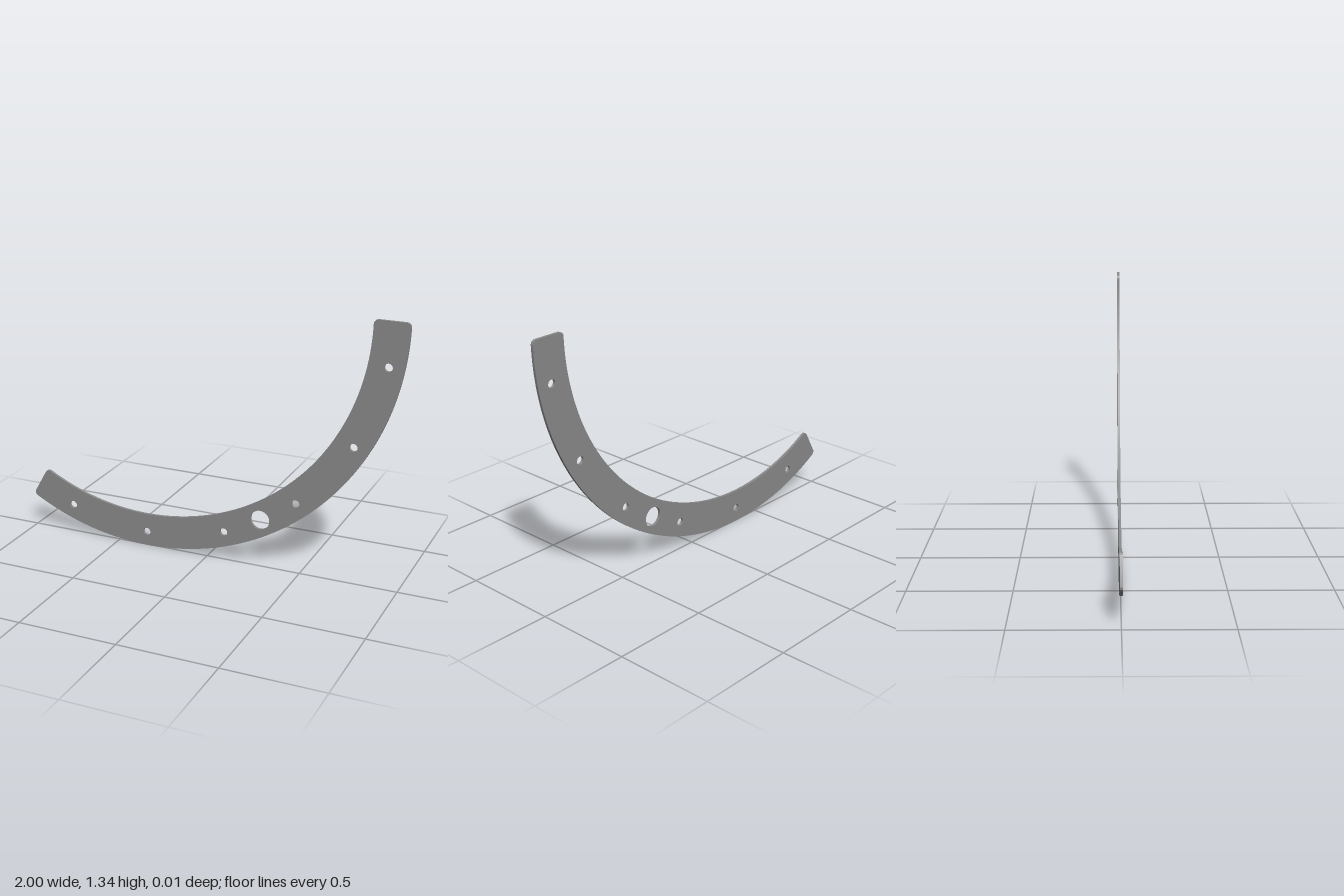
import * as THREE from 'three';
import { toCreasedNormals } from 'three/addons/utils/BufferGeometryUtils.js';

const OUTER = 1.338, INNER = 1.164, CORNER = 0.022, THICK = 0.014;
const CENTRE_X = -0.338, CENTRE_Y = 1.338;
const rad = THREE.MathUtils.degToRad;

// Ring sector between two angles, with all four corners rounded
function sectorShape(a0, a1) {
  const ro = OUTER - CORNER, ri = INNER + CORNER;
  const dOut = Math.asin(CORNER / ro), dIn = Math.asin(CORNER / ri);
  const s = new THREE.Shape();
  const fillet = (r, a, from, to) =>
    s.absarc(r * Math.cos(a), r * Math.sin(a), CORNER, from, to, false);
  s.absarc(0, 0, OUTER, a0 + dOut, a1 - dOut, false);
  fillet(ro, a1 - dOut, a1 - dOut, a1 + Math.PI / 2);
  fillet(ri, a1 - dIn, a1 + Math.PI / 2, a1 - dIn + Math.PI);
  s.absarc(0, 0, INNER, a1 - dIn, a0 + dIn, true);
  fillet(ri, a0 + dIn, a0 + dIn + Math.PI, a0 + Math.PI * 1.5);
  fillet(ro, a0 + dOut, a0 - Math.PI / 2, a0 + dOut);
  return s;
}

export function createModel() {
  const group = new THREE.Group();
  group.name = 'curvedPlate';

  const shape = sectorShape(rad(-120), 0);
  const drill = (deg, ringRadius, r) => {
    const a = rad(deg);
    const hole = new THREE.Path();
    hole.absarc(ringRadius * Math.cos(a), ringRadius * Math.sin(a), r, 0, Math.PI * 2, true);
    shape.holes.push(hole);
  };

  // Six small screw holes and one larger hole halfway along
  for (const deg of [-10, -30, -50, -70, -90, -110]) drill(deg, 1.262, 0.02);
  drill(-60, 1.253, 0.05);

  const geometry = new THREE.ExtrudeGeometry(shape, {
    depth: THICK, bevelEnabled: false, curveSegments: 72,
  });
  geometry.translate(CENTRE_X, CENTRE_Y, -THICK / 2);

  const plate = new THREE.Mesh(
    toCreasedNormals(geometry, 0.6),
    new THREE.MeshStandardMaterial({ color: 0x8a8a8a })
  );
  plate.name = 'arcPlate';
  group.add(plate);
  return group;
}
